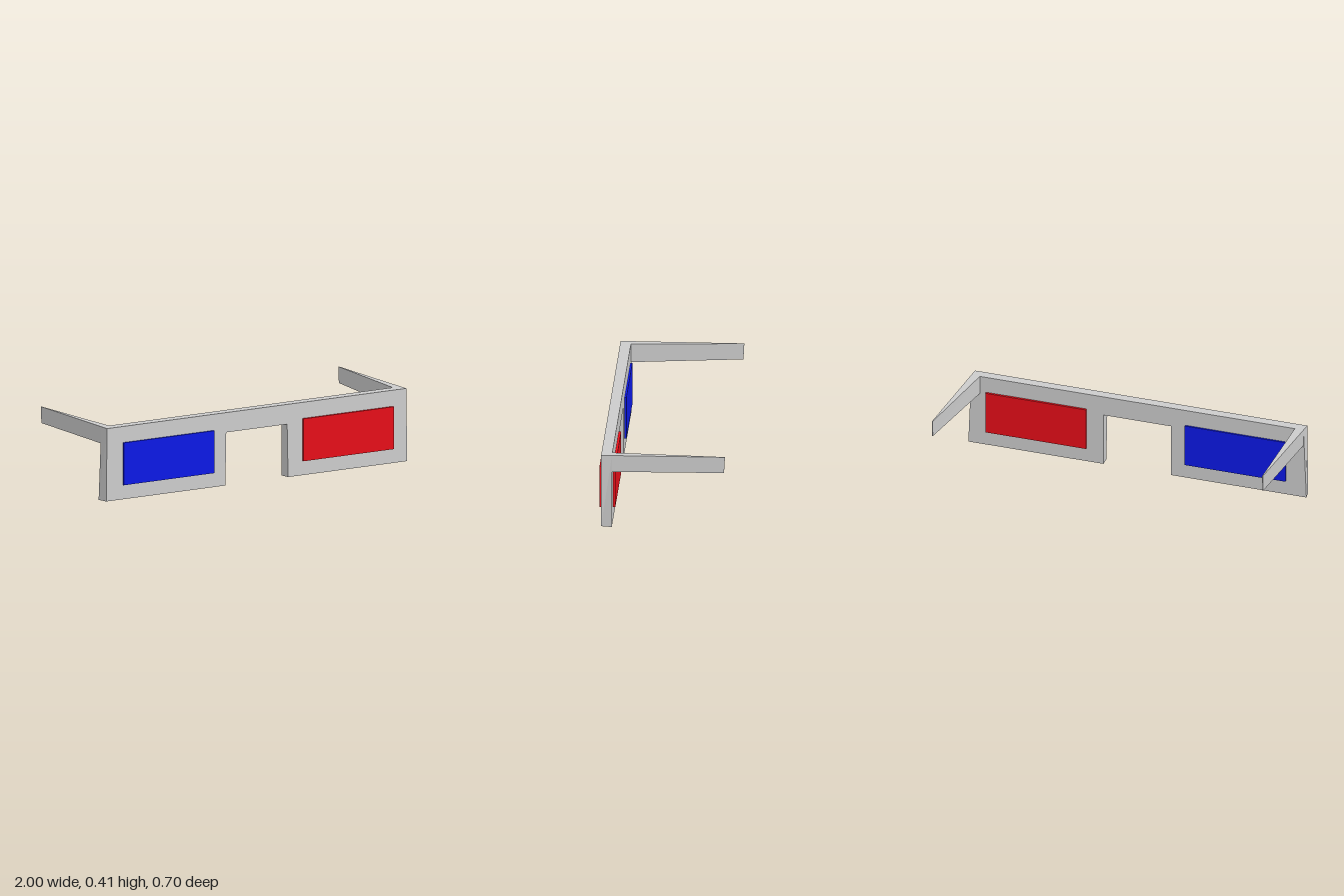
import * as THREE from 'three';

const FRONT = 0.337, BACK = 0.277, TOP = 0.412;

function part(name, geometry, color = 0xcccccc) {
  geometry.computeVertexNormals();
  const mesh = new THREE.Mesh(geometry, new THREE.MeshStandardMaterial({ color, flatShading: true }));
  mesh.name = name;
  return mesh;
}

// Card front with a nose cut-out; the lower back corners flare slightly
function frameGeometry() {
  const half = [[0.2, 0.3], [0.206, 0], [0.988, 0], [0.983, TOP]];
  const outline = [...half, ...half.map(([x, y]) => [-x, y]).reverse()];
  const shape = new THREE.Shape(outline.map(([x, y]) => new THREE.Vector2(x, y)));
  const geo = new THREE.ExtrudeGeometry(shape, { depth: FRONT - BACK, bevelEnabled: false });
  geo.translate(0, 0, BACK);
  const p = geo.attributes.position;
  for (let i = 0; i < p.count; i++) {
    if (p.getZ(i) > BACK + 0.01 || p.getY(i) > 0.01) continue;
    const x = p.getX(i);
    p.setX(i, Math.sign(x) * (Math.abs(x) > 0.5 ? 1 : 0.2));
  }
  return geo;
}

// Tapered arm: wide at the frame, nearly a point at the tip
function armGeometry(side) {
  const geo = new THREE.BoxGeometry(1, 1, 1);
  const p = geo.attributes.position;
  for (let i = 0; i < p.count; i++) {
    const outer = p.getX(i) * side > 0, top = p.getY(i) > 0, root = p.getZ(i) > 0;
    const x = root ? (outer ? 0.983 : 0.932) : (outer ? 0.979 : 0.975);
    const y = top ? TOP : root ? (outer ? 0.317 : 0.307) : 0.32;
    const z = root ? BACK : top ? -0.349 : -0.344;
    p.setXYZ(i, x * side, y, z);
  }
  return geo;
}

// Rectangular lens standing proud of both faces of the frame
function lens(name, x, front, back, color) {
  const mesh = part(name, new THREE.BoxGeometry(0.595, 0.24, front - back), color);
  mesh.position.set(x, 0.201, (front + back) / 2);
  return mesh;
}

export function createModel() {
  const group = new THREE.Group();
  group.name = 'paperGlasses';
  group.add(
    part('frame', frameGeometry()),
    part('leftArm', armGeometry(1)),
    part('rightArm', armGeometry(-1)),
    lens('leftLens', 0.597, 0.35, 0.263, 0xe60e18),
    lens('rightLens', -0.582, 0.347, 0.266, 0x0c18e6),
  );
  return group;
}
